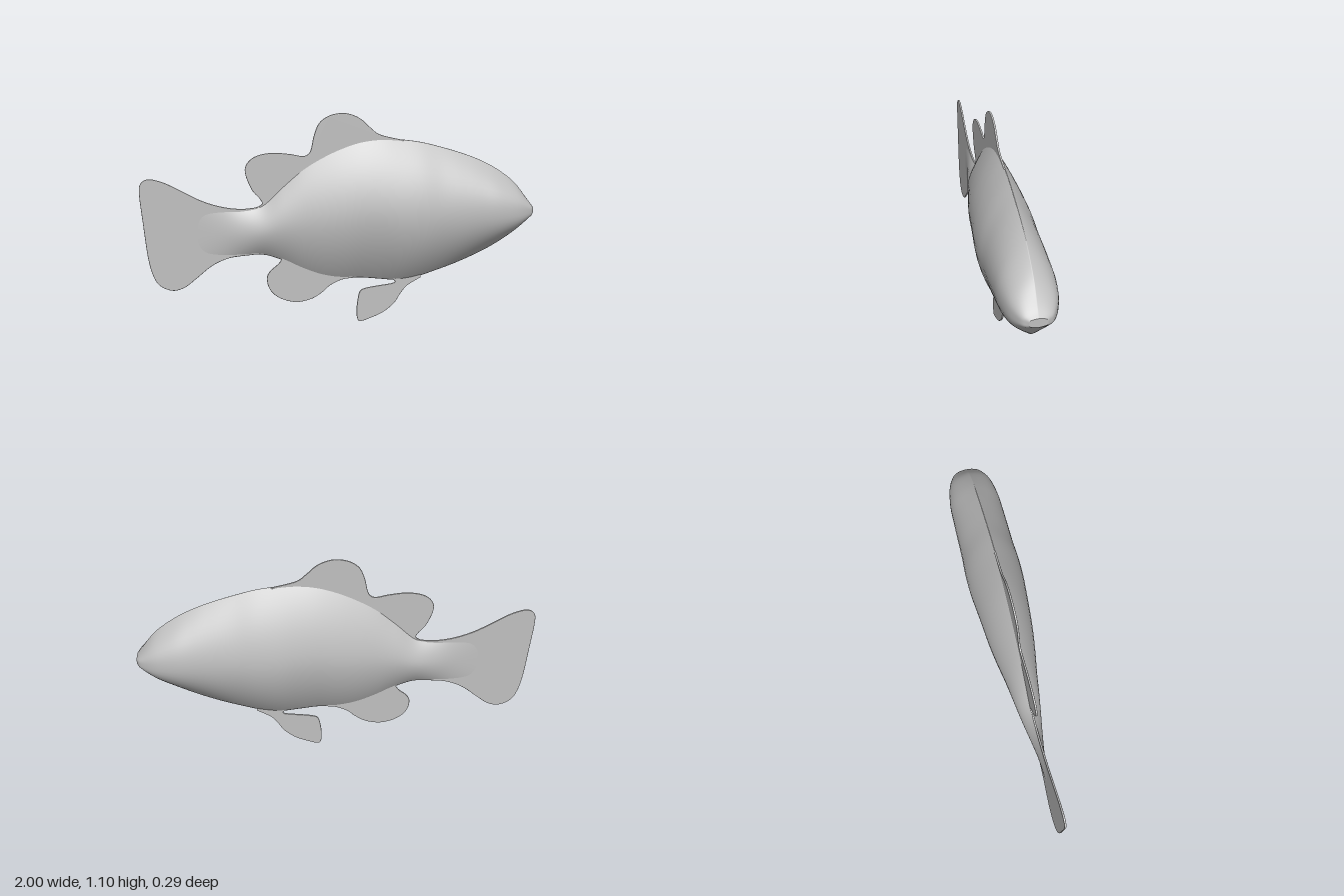
import * as THREE from 'three';

const grey = new THREE.MeshStandardMaterial({ color: 0xc0c0c0 });
grey.name = 'fish grey';

// Body stations from nose to tail: x, top, bottom, half width, fullness of the section
const STATIONS = [
  [1.0, 0.605, 0.56, 0.042, 5], [0.975, 0.638, 0.533, 0.075, 3.6], [0.9, 0.73, 0.455, 0.112, 2.7],
  [0.8, 0.805, 0.39, 0.131, 2.3], [0.7, 0.857, 0.341, 0.135, 2.1], [0.6, 0.895, 0.3, 0.137, 2],
  [0.5, 0.926, 0.266, 0.139, 1.9], [0.4, 0.952, 0.236, 0.144, 1.9], [0.3, 0.967, 0.222, 0.143, 1.85],
  [0.2, 0.975, 0.233, 0.135, 1.8], [0.1, 0.965, 0.245, 0.126, 1.8], [0, 0.935, 0.246, 0.116, 1.8],
  [-0.1, 0.89, 0.265, 0.101, 1.8], [-0.2, 0.83, 0.305, 0.083, 1.8], [-0.3, 0.745, 0.357, 0.068, 1.8],
  [-0.4, 0.655, 0.392, 0.052, 1.8], [-0.5, 0.634, 0.39, 0.034, 1.9], [-0.6, 0.645, 0.38, 0.017, 2],
  [-0.7, 0.66, 0.37, 0.007, 2.5], [-0.76, 0.66, 0.37, 0.003, 3],
];

// Lofted lens-shaped body with a flat snout cap
function bodyGeometry(rings = 114, sides = 48) {
  const spine = new THREE.CatmullRomCurve3(
    STATIONS.map(s => new THREE.Vector3(s[0], s[1], s[2])), false, 'catmullrom', 0.5);
  const girth = new THREE.CatmullRomCurve3(
    STATIONS.map(s => new THREE.Vector3(s[3], s[4], 0)), false, 'catmullrom', 0.5);
  const pos = [], index = [];
  for (let i = 0; i <= rings; i++) {
    const { x, y: top, z: bottom } = spine.getPoint(i / rings);
    const { x: w, y: p } = girth.getPoint(i / rings);
    for (let j = 0; j < sides; j++) {
      const a = (j / sides) * Math.PI * 2;
      const t = Math.sin(a);
      const z = w * (1 - Math.abs(t) ** p) * Math.sign(Math.cos(a));
      pos.push(x, (top + bottom) / 2 + t * (top - bottom) / 2, z);
    }
  }
  for (let i = 0; i < rings; i++) {
    for (let j = 0; j < sides; j++) {
      const k = (j + 1) % sides;
      const a = i * sides + j, b = i * sides + k, c = a + sides, d = b + sides;
      index.push(a, b, c, b, d, c);
    }
  }
  // Snout cap on its own vertices so the rim stays crisp
  const cap = pos.length / 3;
  pos.push(...pos.slice(0, sides * 3), 1, 0.5825, 0);
  for (let j = 0; j < sides; j++) index.push(cap + sides, cap + (j + 1) % sides, cap + j);
  const g = new THREE.BufferGeometry();
  g.setAttribute('position', new THREE.Float32BufferAttribute(pos, 3));
  g.setIndex(index);
  g.computeVertexNormals();
  return g;
}

// Thin fin with a softened edge: curved rim, then straight root points hidden in the body
function fin(name, rim, root) {
  const shape = new THREE.Shape();
  shape.moveTo(...rim[0]);
  shape.splineThru(rim.slice(1).map(p => new THREE.Vector2(...p)));
  root.forEach(p => shape.lineTo(...p));
  const g = new THREE.ExtrudeGeometry(shape, {
    depth: 0.004, curveSegments: 70, bevelEnabled: true,
    bevelThickness: 0.003, bevelSize: 0.004, bevelOffset: -0.004, bevelSegments: 2,
  });
  g.translate(0, 0, -0.002);
  const mesh = new THREE.Mesh(g, grey);
  mesh.name = name;
  return mesh;
}

export function createModel() {
  const fish = new THREE.Group();
  fish.name = 'fish';

  const body = new THREE.Mesh(bodyGeometry(), grey);
  body.name = 'body';
  fish.add(body);

  fish.add(fin('tailFin', [
    [-0.4, 0.645], [-0.5, 0.636], [-0.6, 0.65], [-0.7, 0.685], [-0.8, 0.74], [-0.88, 0.783],
    [-0.95, 0.802], [-0.99, 0.782], [-1, 0.73], [-0.99, 0.58], [-0.975, 0.4], [-0.953, 0.3],
    [-0.92, 0.248], [-0.86, 0.222], [-0.8, 0.237], [-0.74, 0.282], [-0.66, 0.345],
    [-0.58, 0.38], [-0.5, 0.392], [-0.4, 0.396],
  ], []));

  // Front and rear lobes of the back fin share one rim
  fish.add(fin('dorsalFin', [
    [0.32, 0.962], [0.2, 0.992], [0.15, 1.027], [0.1, 1.073], [0.05, 1.098], [0, 1.106],
    [-0.06, 1.095], [-0.11, 1.06], [-0.137, 1.0], [-0.153, 0.93], [-0.17, 0.903],
    [-0.2, 0.896], [-0.26, 0.908], [-0.35, 0.916], [-0.43, 0.9], [-0.475, 0.86],
    [-0.48, 0.81], [-0.45, 0.732], [-0.412, 0.685], [-0.402, 0.66], [-0.42, 0.645],
  ], [[-0.42, 0.6], [-0.3, 0.6], [0, 0.82], [0.25, 0.9]]));

  fish.add(fin('analFin', [
    [0.06, 0.246], [0, 0.238], [-0.06, 0.21], [-0.1, 0.175], [-0.16, 0.14], [-0.24, 0.128],
    [-0.32, 0.153], [-0.37, 0.2], [-0.386, 0.26], [-0.37, 0.3], [-0.325, 0.34],
    [-0.312, 0.365], [-0.33, 0.384], [-0.4, 0.396],
  ], [[-0.35, 0.48], [-0.1, 0.38], [0.06, 0.32]]));

  fish.add(fin('pelvicFin', [
    [0.27, 0.228], [0.283, 0.214], [0.265, 0.204], [0.2, 0.196], [0.13, 0.186], [0.098, 0.17],
    [0.085, 0.12], [0.08, 0.06], [0.085, 0.015], [0.102, 0.002], [0.15, 0.016], [0.22, 0.046],
    [0.28, 0.095], [0.315, 0.15], [0.35, 0.19], [0.42, 0.231],
  ], [[0.42, 0.3], [0.27, 0.3]]));

  return fish;
}
